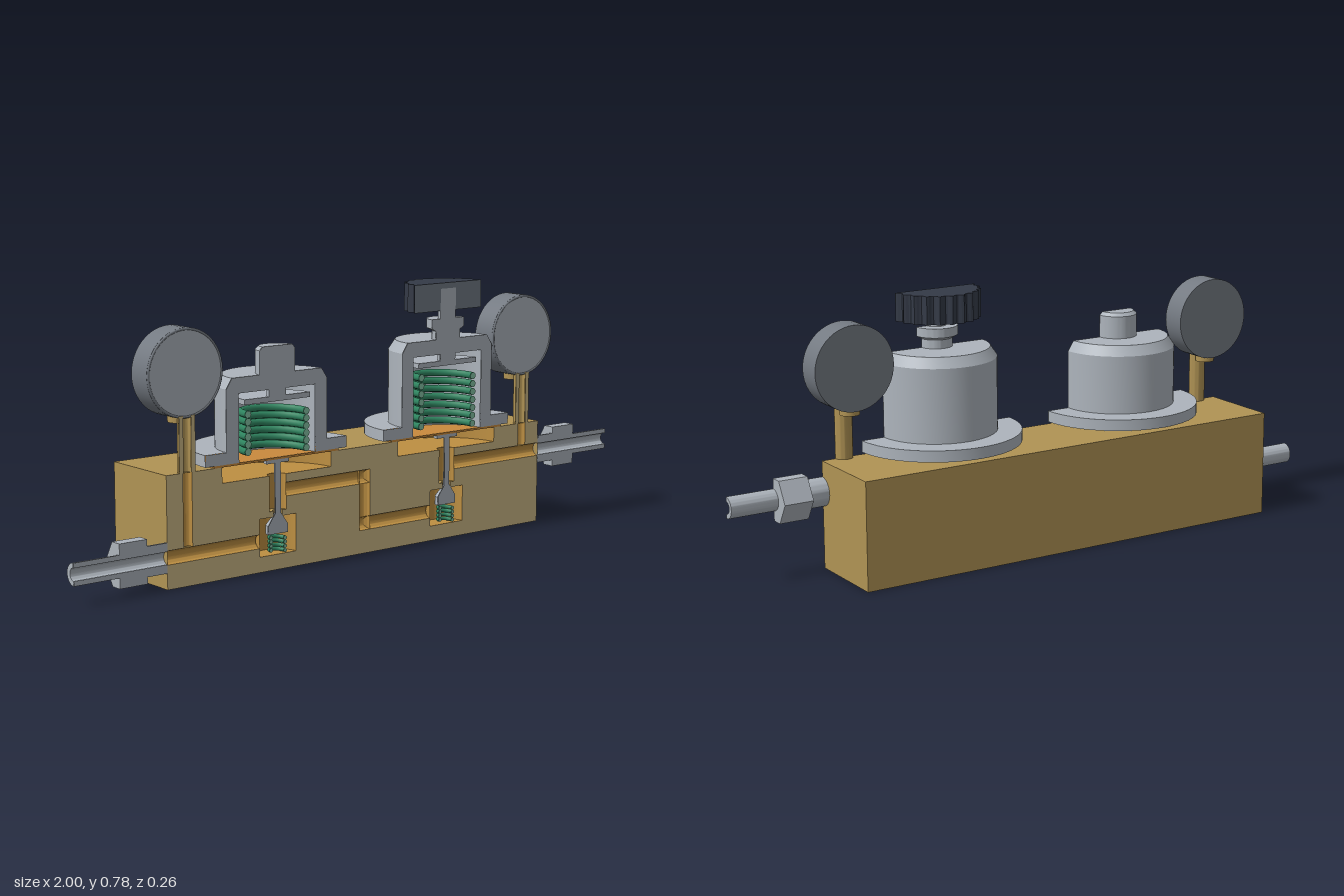
import * as THREE from 'three';
import { toCreasedNormals } from 'three/addons/utils/BufferGeometryUtils.js';

const mat = (name, color) => {
  const m = new THREE.MeshStandardMaterial({ color, side: THREE.DoubleSide });
  m.name = name;
  return m;
};

const V = (pts) => pts.map(([x, y]) => new THREE.Vector2(x, y));

// Every sectioned part lies behind the cutting plane z = 0 of its group.
class HalfCoil extends THREE.Curve {
  constructor(radius, start, pitch) {
    super();
    Object.assign(this, { radius, start, pitch });
  }
  getPoint(t, target = new THREE.Vector3()) {
    const a = Math.PI * (0.5 + t);
    return target.set(this.radius * Math.sin(a), this.start + this.pitch * t * 0.5, this.radius * Math.cos(a));
  }
}

export function createModel() {
  const brass = mat('brass', 0xb09354);
  const brassCut = mat('cut brass', 0xcbb786);
  const bore = mat('bore brass', 0xbd8f42);
  const steel = mat('steel', 0xadb4bc);
  const gaugeGrey = mat('gauge grey', 0x747a82);
  const copper = mat('diaphragm copper', 0xc98a3d);
  const green = mat('spring green', 0x2f8560);
  const greenCut = mat('cut spring green', 0x86c4a6);
  const dark = mat('knob dark', 0x343a47);
  const darkCut = mat('cut knob grey', 0x707983);

  const model = new THREE.Group();
  model.name = 'sectionedTwoStageRegulator';
  const section = new THREE.Group();
  section.name = 'section';
  section.position.z = 0.13;
  model.add(section);

  const add = (parent, name, geometry, material, x = 0, y = 0, z = 0) => {
    const m = new THREE.Mesh(geometry, material);
    m.name = name;
    m.position.set(x, y, z);
    parent.add(m);
    return m;
  };
  const group = (name, x, y) => {
    const g = new THREE.Group();
    g.name = name;
    g.position.set(x, y, 0);
    section.add(g);
    return g;
  };
  const lathe = (pts) =>
    toCreasedNormals(new THREE.LatheGeometry(V(pts), 32, Math.PI / 2, Math.PI), 0.4);

  // Solid half of a turned part, closed by its cut faces
  const turned = (parent, name, profile, material, cutMaterial = material) => {
    const pts = THREE.ShapeUtils.area(V(profile)) < 0 ? [...profile].reverse() : profile;
    add(parent, name, lathe([...pts, pts[0]]), material);
    const faces = [1, -1].map((s) => new THREE.Shape(V(pts.map(([r, y]) => [s * r, y]))));
    add(parent, name + 'CutFace', new THREE.ShapeGeometry(faces), cutMaterial, 0, 0, 0.001);
  };

  // Half coil spring with pale cut wire ends
  const spring = (parent, name, radius, wire, bottom, top, turns) => {
    const pitch = (top - bottom) / turns;
    for (let i = 0; i < turns; i++) {
      const y = bottom + i * pitch;
      add(parent, name, new THREE.TubeGeometry(new HalfCoil(radius, y, pitch), 20, wire, 8), green);
      add(parent, name + 'End', new THREE.CircleGeometry(wire, 10), greenCut, radius, y, 0.001);
      add(parent, name + 'End', new THREE.CircleGeometry(wire, 10), greenCut, -radius, y + pitch / 2, 0.001);
    }
  };

  // Block without its front side
  const block = new THREE.BoxGeometry(1.4, 0.32, 0.26);
  block.setIndex([...block.index.array].filter((_, i) => i < 24 || i >= 30));
  block.clearGroups();
  add(section, 'block', block, brass, 0, 0.16, -0.13);

  // Cut face of the block around the passages
  const regions = [
    [[-0.7, 0], [0.7, 0], [0.7, 0.21], [0.35, 0.21], [0.35, 0.155], [0.385, 0.155], [0.385, 0.045],
      [0.255, 0.045], [0.255, 0.07], [-0.02, 0.07], [-0.02, 0.21], [-0.29, 0.21], [-0.29, 0.155],
      [-0.255, 0.155], [-0.255, 0.045], [-0.385, 0.045], [-0.385, 0.07], [-0.7, 0.07]],
    [[-0.7, 0.11], [-0.645, 0.11], [-0.645, 0.32], [-0.7, 0.32]],
    [[-0.615, 0.11], [-0.385, 0.11], [-0.385, 0.155], [-0.35, 0.155], [-0.35, 0.275],
      [-0.513, 0.275], [-0.513, 0.32], [-0.615, 0.32]],
    [[-0.29, 0.25], [0.02, 0.25], [0.02, 0.11], [0.255, 0.11], [0.255, 0.155], [0.29, 0.155],
      [0.29, 0.275], [0.127, 0.275], [0.127, 0.32], [-0.127, 0.32], [-0.127, 0.275], [-0.29, 0.275]],
    [[0.35, 0.25], [0.615, 0.25], [0.615, 0.32], [0.513, 0.32], [0.513, 0.275], [0.35, 0.275]],
    [[0.645, 0.25], [0.7, 0.25], [0.7, 0.32], [0.645, 0.32]],
  ];
  add(section, 'blockCutFace', new THREE.ShapeGeometry(regions.map((r) => new THREE.Shape(V(r)))), brassCut);

  // Half-round passages: x, y, length, radius, upright
  [
    [-0.5425, 0.09, 0.315, 0.02, false], [-0.135, 0.23, 0.31, 0.02, false],
    [0, 0.16, 0.18, 0.02, true], [0.1175, 0.09, 0.275, 0.02, false],
    [0.525, 0.23, 0.35, 0.02, false], [-0.63, 0.215, 0.21, 0.015, true], [0.63, 0.285, 0.07, 0.015, true],
  ].forEach(([x, y, len, r, upright]) => {
    const p = add(section, 'passage', lathe([[r, -len / 2], [r, len / 2]]), bore, x, y);
    if (!upright) p.rotation.z = Math.PI / 2;
  });

  // One pressure stage: chamber, valve, diaphragm, spring and bonnet
  const stage = (name, x, top, plate, turns) => {
    const g = group(name, x, 0);
    add(g, 'valveChamber', lathe([[0, 0.045], [0.065, 0.045], [0.065, 0.155], [0.03, 0.155],
      [0.03, 0.275], [0.193, 0.275], [0.193, 0.32]]), bore);
    turned(g, 'valveSeat', [[0.016, 0.155], [0.031, 0.155], [0.031, 0.172], [0.016, 0.172]], brass, brassCut);
    turned(g, 'valve', [[0, 0.105], [0.035, 0.105], [0.035, 0.13], [0.01, 0.165], [0.01, 0.31],
      [0.04, 0.31], [0.04, 0.32], [0, 0.32]], steel);
    spring(g, 'valveSpring', 0.025, 0.006, 0.053, 0.102, 4);
    turned(g, 'diaphragm', [[0, 0.32], [0.22, 0.32], [0.22, 0.326], [0, 0.326]], copper);
    const roof = top - 0.045;
    turned(g, 'bonnet', [[0.135, 0.326], [0.25, 0.326], [0.25, 0.36], [0.178, 0.36], [0.178, top - 0.03],
      [0.158, top], [0.03, top], [0.03, roof], [0.135, roof]], steel);
    spring(g, 'mainSpring', 0.103, 0.011, 0.342, plate - 0.017, turns);
    return g;
  };

  // Left-hand stage with a short adjusting stud
  const first = stage('firstStage', -0.32, 0.567, 0.487, 6);
  turned(first, 'adjustingStud', [[0, 0.487], [0.115, 0.487], [0.115, 0.502], [0.03, 0.502], [0.03, 0.567],
    [0.062, 0.567], [0.062, 0.635], [0.052, 0.645], [0, 0.645]], steel);

  // Right-hand stage with collar, stem and hand knob
  const second = stage('secondStage', 0.32, 0.61, 0.53, 7);
  turned(second, 'adjustingStem', [[0, 0.53], [0.115, 0.53], [0.115, 0.545], [0.03, 0.545], [0.03, 0.762],
    [0, 0.762]], steel);
  turned(second, 'stemCollar', [[0.03, 0.61], [0.048, 0.61], [0.048, 0.636], [0.064, 0.645], [0.064, 0.672],
    [0.03, 0.672]], steel);
  const rim = [];
  const flutes = 11;
  for (let i = 0; i <= flutes * 6; i++) {
    const a = (i / (flutes * 6)) * Math.PI;
    const r = 0.132 - 0.011 * Math.abs(Math.sin(a * flutes)) ** 1.5;
    rim.push([r * Math.cos(a), r * Math.sin(a)]);
  }
  const knob = new THREE.ExtrudeGeometry(new THREE.Shape(V(rim)), { depth: 0.083, bevelEnabled: false });
  knob.rotateX(-Math.PI / 2);
  add(second, 'handKnob', knob, dark, 0, 0.696);
  add(second, 'handKnobCutFace', new THREE.ShapeGeometry(new THREE.Shape(V([[-0.132, 0.696], [-0.03, 0.696],
    [-0.03, 0.762], [0.03, 0.762], [0.03, 0.696], [0.132, 0.696], [0.132, 0.779], [-0.132, 0.779]]))),
  darkCut, 0, 0, 0.001);

  // Gauges on brass stems, and pipe fittings at both ends
  for (const s of [1, -1]) {
    const gauge = group(s > 0 ? 'leftGauge' : 'rightGauge', s * 0.63, 0);
    turned(gauge, 'gaugeStem', [[0.013, 0.32], [0.027, 0.32], [0.027, 0.478], [0.013, 0.478]], brass, brassCut);
    add(gauge, 'gaugeCollar', new THREE.CylinderGeometry(0.029, 0.029, 0.03, 24), brass, 0, 0.471, -0.043);
    const body = new THREE.CylinderGeometry(0.125, 0.125, 0.074, 48);
    body.rotateX(Math.PI / 2);
    add(gauge, 'gaugeCase', body, gaugeGrey, 0, 0.595, -0.043);
    add(gauge, 'gaugeBezel', new THREE.TorusGeometry(0.121, 0.004, 8, 48), gaugeGrey, 0, 0.595, -0.005);
    add(gauge, 'gaugeDial', new THREE.CircleGeometry(0.12, 48), steel, 0, 0.595, -0.003);

    const fitting = group(s > 0 ? 'outletFitting' : 'inletFitting', 0, s > 0 ? 0.23 : 0.09);
    const turnedParts = new THREE.Group();
    turnedParts.name = 'pipeAndShank';
    turnedParts.rotation.z = -Math.PI / 2;
    fitting.add(turnedParts);
    turned(turnedParts, 'pipe', [[0.018, s * 0.7], [0.032, s * 0.7], [0.032, s], [0.018, s]], steel);
    turned(turnedParts, 'shank', [[0.032, s * 0.7], [0.043, s * 0.7], [0.043, s * 0.768], [0.032, s * 0.768]], steel);
    const hex = new THREE.Shape(V([[0, -0.0625], [0.036, -0.0625], [0.072, 0], [0.036, 0.0625], [0, 0.0625],
      [0, 0.03]]));
    hex.absarc(0, 0, 0.03, Math.PI / 2, -Math.PI / 2, true);
    const nut = new THREE.ExtrudeGeometry(hex, { depth: 0.09, bevelEnabled: false });
    nut.rotateY(Math.PI / 2);
    add(fitting, 'hexNut', nut, steel, s > 0 ? 0.765 : -0.855);
  }
  return model;
}
